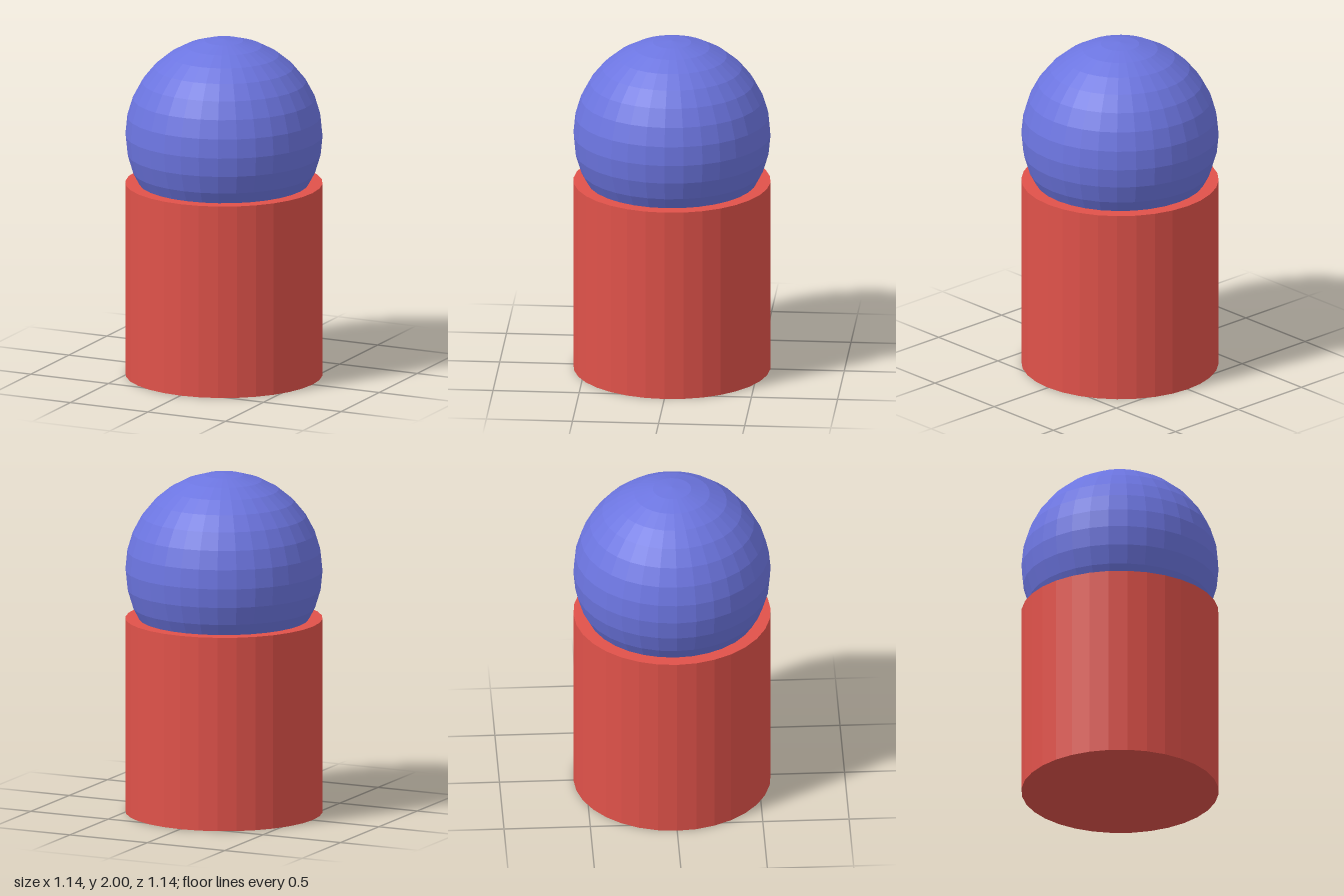
import * as THREE from 'three';

const RADIUS = 4 / 7;
const BODY_HEIGHT = 2 * RADIUS;
const SIDES = 32;

function addPart(group, name, geometry, color, y) {
  const material = new THREE.MeshStandardMaterial({ color, flatShading: true });
  const mesh = new THREE.Mesh(geometry, material);
  mesh.name = name;
  mesh.position.y = y;
  group.add(mesh);
}

export function createModel() {
  const group = new THREE.Group();
  group.name = 'figure';

  // Closed cylinder standing on the ground
  addPart(group, 'body', new THREE.CylinderGeometry(RADIUS, RADIUS, BODY_HEIGHT, SIDES), 0xe0524a, BODY_HEIGHT / 2);

  // Faceted ball sunk halfway into the top of the body
  addPart(group, 'head', new THREE.SphereGeometry(RADIUS, SIDES, SIDES / 2), 0x6c75e0, 2 - RADIUS);

  return group;
}
